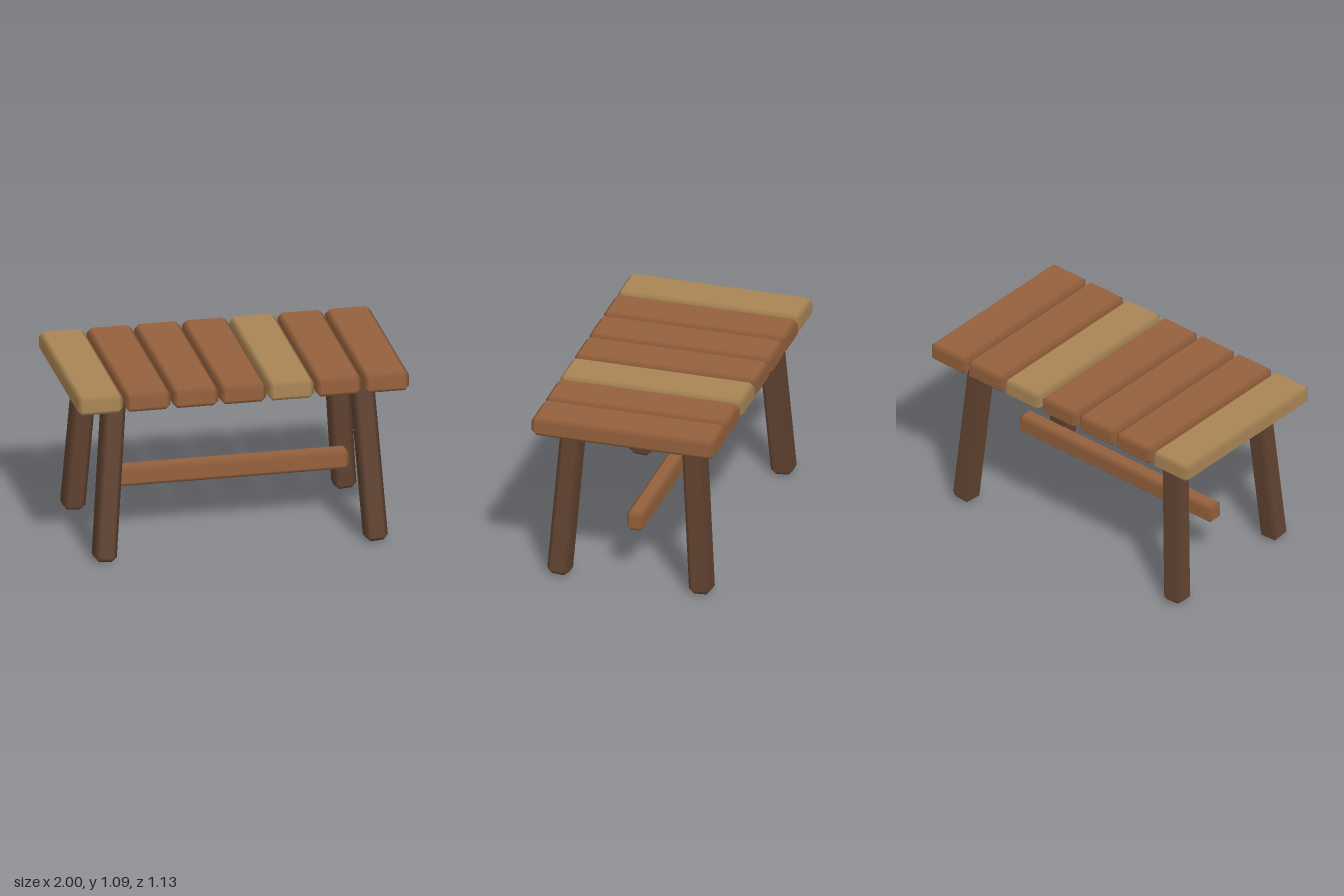
import * as THREE from 'three';

// Box with a single chamfer on every edge; flat faces keep their own normals,
// so shading blends softly across the chamfers.
function chamferBox(w, h, d, c) {
  const half = [w / 2, h / 2, d / 2];
  const pos = [], nor = [], index = [];
  const id = (axis, s) => axis * 8 + (s[0] > 0 ? 4 : 0) + (s[1] > 0 ? 2 : 0) + (s[2] > 0 ? 1 : 0);
  const corners = [];
  for (const x of [-1, 1]) for (const y of [-1, 1]) for (const z of [-1, 1]) corners.push([x, y, z]);
  for (let a = 0; a < 3; a++) {
    for (const s of corners) {
      for (let k = 0; k < 3; k++) {
        pos.push(s[k] * (half[k] - (k === a ? 0 : c)));
        nor.push(k === a ? s[k] : 0);
      }
    }
  }
  const point = i => new THREE.Vector3().fromArray(pos, i * 3);
  // Adds a triangle facing away from the centre
  const tri = (i, j, k) => {
    const p = point(i);
    const n = point(j).sub(p).cross(point(k).sub(p));
    if (n.dot(p) > 0) index.push(i, j, k);
    else index.push(i, k, j);
  };
  const quad = (i, j, k, l) => { tri(i, j, k); tri(i, k, l); };
  const signs = (a, sa, b, sb, e, se) => {
    const s = [0, 0, 0];
    s[a] = sa; s[b] = sb; s[e] = se;
    return s;
  };
  for (let a = 0; a < 3; a++) {
    const b = (a + 1) % 3, e = (a + 2) % 3;
    for (const sa of [-1, 1]) {
      const at = (sb, se) => id(a, signs(a, sa, b, sb, e, se));
      quad(at(-1, -1), at(1, -1), at(1, 1), at(-1, 1)); // face
      for (const sb of [-1, 1]) { // chamfers between faces a and b
        const lo = signs(a, sa, b, sb, e, -1), hi = signs(a, sa, b, sb, e, 1);
        quad(id(a, lo), id(a, hi), id(b, hi), id(b, lo));
      }
    }
  }
  for (const s of corners) tri(id(0, s), id(1, s), id(2, s));
  const g = new THREE.BufferGeometry();
  g.setAttribute('position', new THREE.Float32BufferAttribute(pos, 3));
  g.setAttribute('normal', new THREE.Float32BufferAttribute(nor, 3));
  g.setIndex(index);
  return g;
}

function material(name, color) {
  const m = new THREE.MeshStandardMaterial({ color });
  m.name = name;
  return m;
}

export function createModel() {
  const model = new THREE.Group();
  model.name = 'plankTable';
  const brown = material('brownWood', 0x94603c);
  const pale = material('paleWood', 0xa98555);
  const dark = material('darkWood', 0x604230);

  const add = (name, geometry, mat, x, y, z) => {
    const mesh = new THREE.Mesh(geometry, mat);
    mesh.name = name;
    mesh.position.set(x, y, z);
    model.add(mesh);
    return mesh;
  };

  // Table top: seven planks, two of them paler
  const plank = chamferBox(0.274, 0.12, 1.13, 0.028);
  for (let i = 0; i < 7; i++) {
    add(`plank${i + 1}`, plank, i === 0 || i === 4 ? pale : brown, (i - 3) * 0.2877, 1.03, 0);
  }

  // Four legs splayed outwards in both directions
  const leg = chamferBox(0.136, 1.04, 0.136, 0.03);
  for (const sx of [-1, 1]) {
    for (const sz of [-1, 1]) {
      const name = (sz > 0 ? 'front' : 'back') + (sx > 0 ? 'Left' : 'Right') + 'Leg';
      const mesh = add(name, leg, dark, sx * 0.782, 0.523, sz * 0.403);
      mesh.rotation.set(-sz * 0.07, 0, sx * 0.072);
    }
  }

  // Long bar between the two ends
  add('stretcher', chamferBox(1.5, 0.124, 0.112, 0.028), brown, 0, 0.361, 0);

  return model;
}
